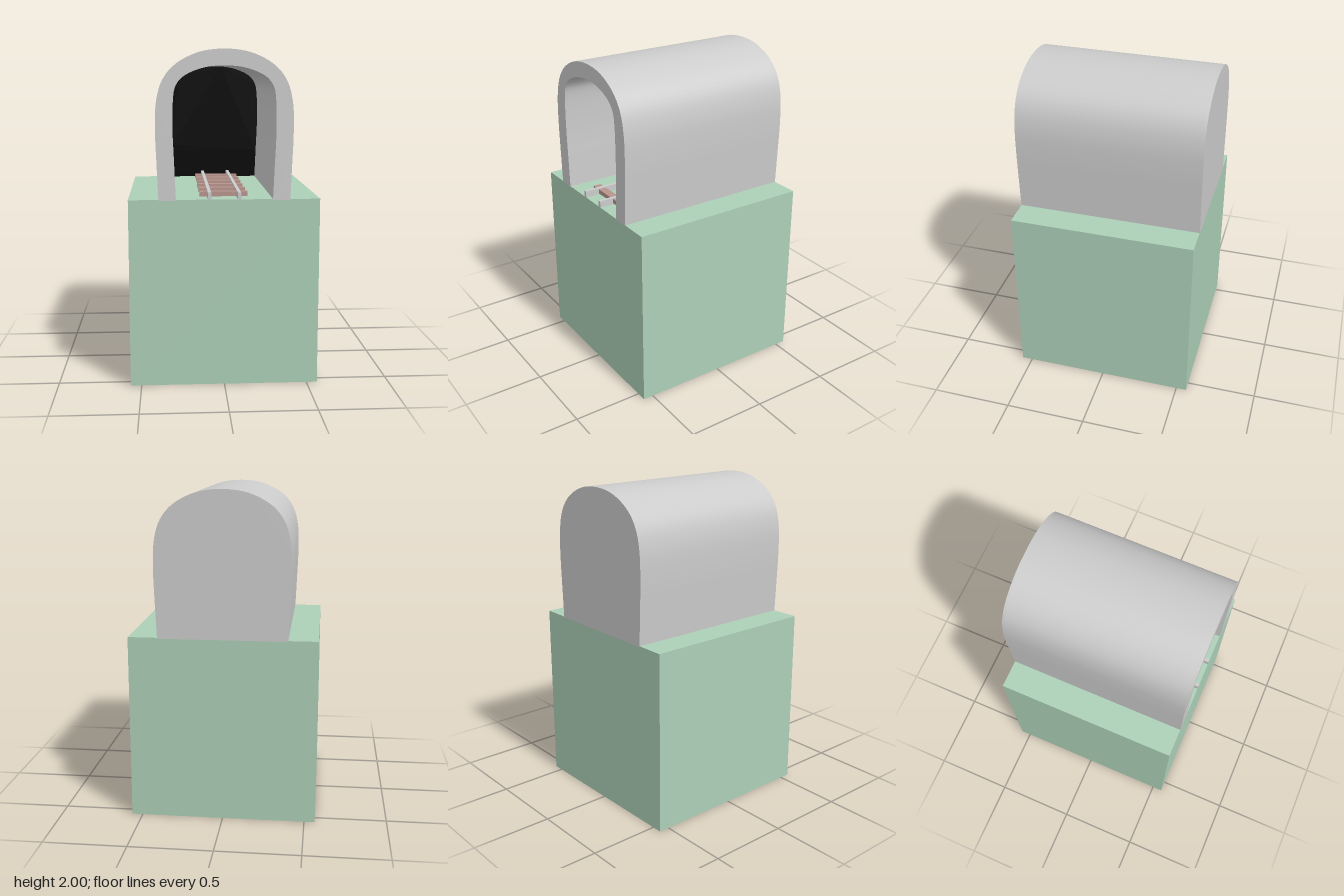
import * as THREE from 'three';
import { toCreasedNormals } from 'three/addons/utils/BufferGeometryUtils.js';

const HALF = 0.565, GROUND = 1.13;

// Smooth mirrored arch curve from the right foot over the crown to the left foot
function archCurve(half) {
  const left = half.slice(0, -1).reverse().map(([x, y]) => [-x, y]);
  const pts = [...half, ...left].map(([x, y]) => new THREE.Vector2(x, y));
  return new THREE.SplineCurve(pts).getPoints(72);
}

function extrude(points, z0, z1) {
  const geometry = new THREE.ExtrudeGeometry(new THREE.Shape(points), { depth: z1 - z0, bevelEnabled: false });
  geometry.translate(0, 0, z0);
  return toCreasedNormals(geometry, 0.6);
}

export function createModel() {
  const model = new THREE.Group();
  model.name = 'railwayTunnel';

  const grey = new THREE.MeshStandardMaterial({ color: 0xcccccc });
  const green = new THREE.MeshStandardMaterial({ color: 0xaccfb7 });
  const wood = new THREE.MeshStandardMaterial({ color: 0xb8958c });
  const black = new THREE.MeshStandardMaterial({ color: 0x000000 });

  function add(name, geometry, material, parent = model) {
    const mesh = new THREE.Mesh(geometry, material);
    mesh.name = name;
    parent.add(mesh);
    return mesh;
  }
  function addBox(name, w, h, d, x, y, z, material, parent) {
    add(name, new THREE.BoxGeometry(w, h, d), material, parent).position.set(x, y, z);
  }

  // Ground block
  addBox('groundBlock', HALF * 2, GROUND, HALF * 2, 0, GROUND / 2, 0, green);

  // Tunnel lining: a thick arch with slightly tapering feet
  const outer = archCurve([
    [0.387, 1.125], [0.395, 1.32], [0.402, 1.52], [0.396, 1.69],
    [0.36, 1.82], [0.28, 1.915], [0.15, 1.98], [0, 2],
  ]);
  const inner = archCurve([
    [0.285, 1.125], [0.293, 1.32], [0.301, 1.52], [0.296, 1.73],
    [0.27, 1.81], [0.21, 1.86], [0.11, 1.895], [0, 1.905],
  ]);
  add('tunnelLining', extrude([...outer, ...inner.slice().reverse()], -HALF + 0.01, HALF + 0.001), grey);

  // Closed rear wall, dark on the inside
  add('rearWall', extrude(outer, -HALF - 0.001, -HALF + 0.01), grey);
  const dark = add('darkEnd', new THREE.ShapeGeometry(new THREE.Shape(inner)), black);
  dark.position.z = -HALF + 0.012;

  // Track: sleepers with two rails notched over them
  const track = new THREE.Group();
  track.name = 'track';
  model.add(track);
  for (let i = 0; i < 6; i++) {
    addBox('sleeper', 0.285, 0.028, 0.05, 0, 1.15, 0.45 - i * 0.17, wood, track);
  }
  for (const side of [-1, 1]) {
    addBox('rail', 0.02, 0.042, HALF * 2 - 0.012, side * 0.088, 1.15, 0.006, grey, track);
  }

  return model;
}
